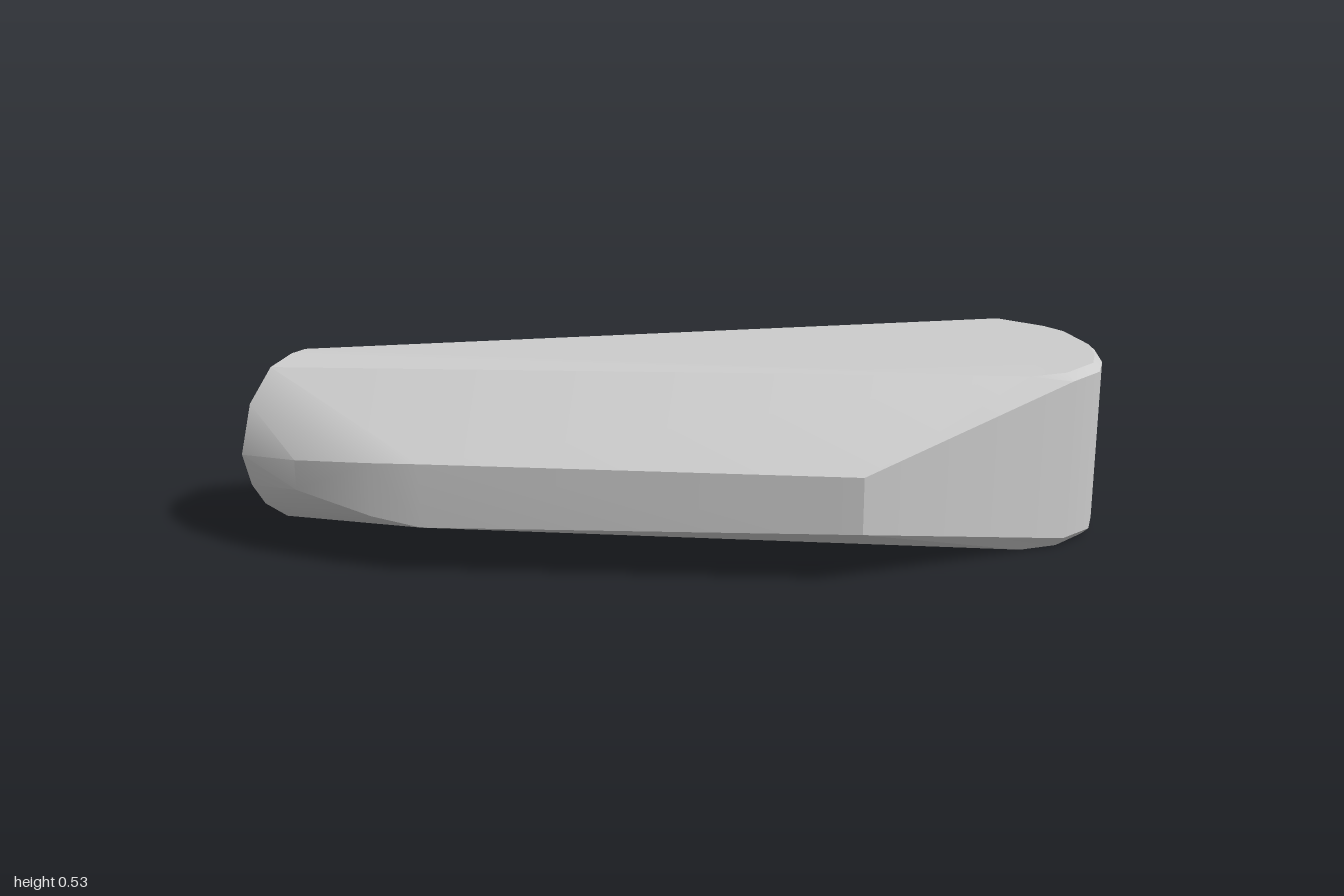
import * as THREE from 'three';
import { ConvexGeometry } from 'three/addons/geometries/ConvexGeometry.js';
import { toCreasedNormals } from 'three/addons/utils/BufferGeometryUtils.js';

// Side wall outline: x, z, lower y, upper y
const wall = [
  [0.825, -0.70, 0.03, 0.51], [0.825, -0.82, 0.025, 0.51], [0.78, -0.89, 0.025, 0.51],
  [0.70, -0.96, 0.025, 0.51], [0.58, -1.0, 0.025, 0.51], [0.52, -1.0, 0.025, 0.51],
  [0.32, -0.93, 0.04, 0.50], [0.10, -0.80, 0.10, 0.41], [-0.05, -0.65, 0.16, 0.33],
  [-0.83, 0.48, 0.18, 0.34],
  [0.61, -0.08, 0.16, 0.33], [-0.28, 0.76, 0.15, 0.34],
  [-0.40, 0.84, 0.17, 0.33], [-0.60, 0.95, 0.22, 0.31]
];

// Flat rim at the broad end, shared by the top and the underside
const rim = [
  [0.75, -0.60], [0.80, -0.70], [0.80, -0.82], [0.76, -0.88],
  [0.69, -0.94], [0.57, -0.98], [0.50, -0.975], [0.36, -0.93]
];

// Rounded narrow end: x, y, z
const nose = [
  [-0.825, 0.53, 0.79], [-0.815, 0.51, 0.87], [-0.81, 0.42, 0.95], [-0.80, 0.28, 0.995],
  [-0.80, 0.18, 0.97], [-0.80, 0.11, 0.93], [-0.80, 0.05, 0.86],
  [-0.83, 0.53, 0.74], [-0.81, 0.10, 0.62]
];

export function createModel() {
  const group = new THREE.Group();
  const grey = new THREE.MeshStandardMaterial({ color: 0xcccccc });
  grey.name = 'plain grey';

  const points = [];
  const add = (x, y, z) => points.push(new THREE.Vector3(x, y, z));
  for (const [x, z, low, high] of wall) {
    add(x, low, z);
    add(x, high, z);
  }
  for (const [x, z] of rim) {
    add(x, 0, z);
    add(x, 0.53, z);
  }
  for (const p of nose) add(...p);

  // Tapered faceted body, softened between shallow facets
  const body = new THREE.Mesh(toCreasedNormals(new ConvexGeometry(points), 0.45), grey);
  body.name = 'taperedBody';
  group.add(body);
  return group;
}
